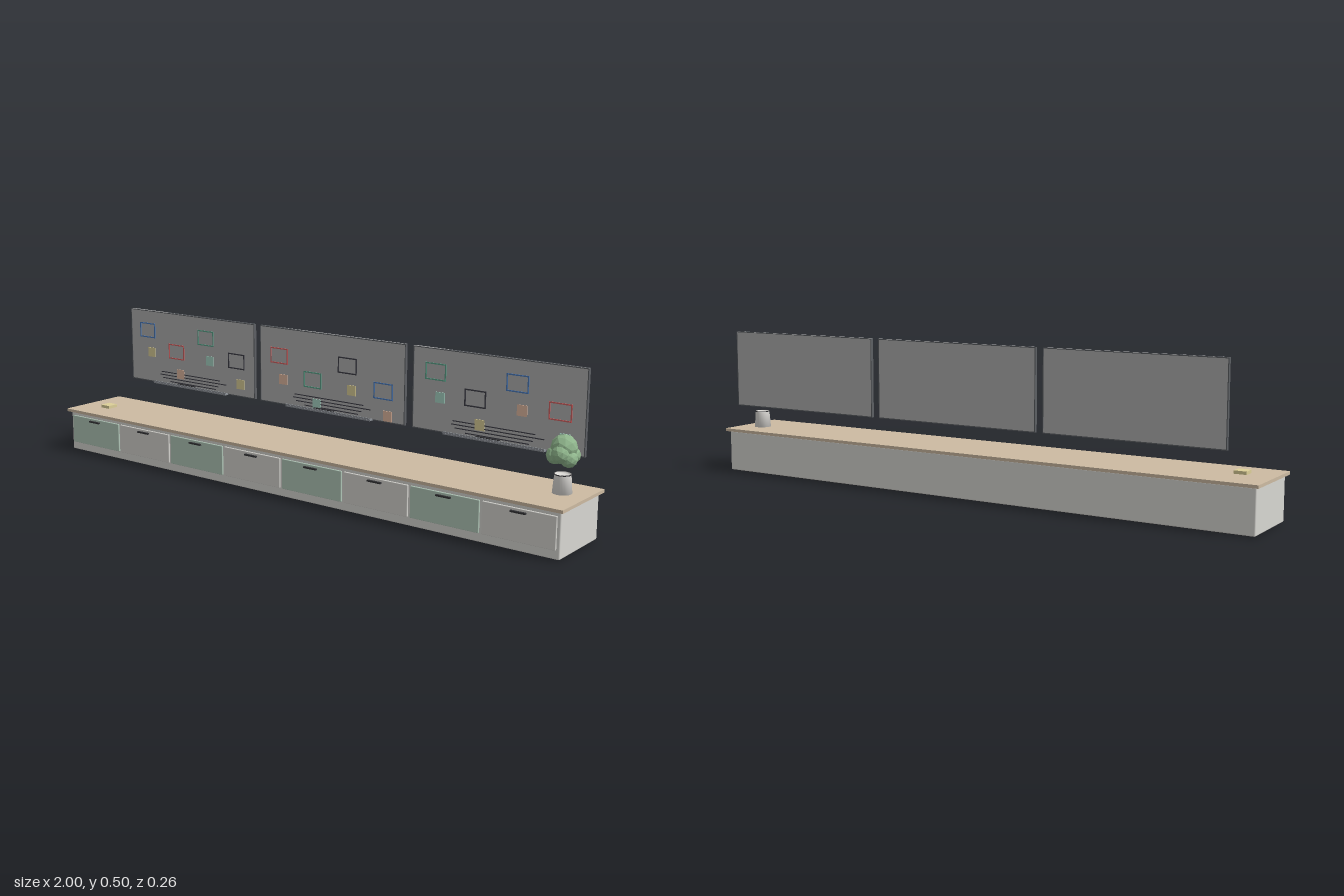
import * as THREE from 'three';
import { RoundedBoxGeometry } from 'three/addons/geometries/RoundedBoxGeometry.js';

const mat = (color, extra = {}) => new THREE.MeshStandardMaterial({ color, ...extra });
const M = {
  cabinet: mat(0xd8d7d2), door: mat(0xd6d5d0), greenDoor: mat(0xb2c8b9), wood: mat(0xcdbba2),
  dark: mat(0x333336), board: mat(0xb0b0b0), frame: mat(0x5c5f63), tray: mat(0x8b9096), pot: mat(0xdedcd8),
  leaf: mat(0x8fb58c, { flatShading: true }),
  blue: mat(0x4a78b8), red: mat(0xd06060), green: mat(0x5aa088), black: mat(0x3c3c44),
  yellow: mat(0xdccf98), orange: mat(0xe0b8a0), mint: mat(0xa8d4c4),
};

function add(parent, name, geometry, material, x, y, z) {
  const mesh = new THREE.Mesh(geometry, material);
  mesh.name = name;
  mesh.position.set(x, y, z);
  parent.add(mesh);
  return mesh;
}
const box = (parent, name, material, w, h, d, x, y, z) =>
  add(parent, name, new THREE.BoxGeometry(w, h, d), material, x, y, z);

// Long low cabinet with alternating doors and bar handles
function createCabinet() {
  const g = new THREE.Group();
  g.name = 'cabinet';
  add(g, 'body', new RoundedBoxGeometry(1.98, 0.141, 0.234, 2, 0.004), M.cabinet, 0, 0.0725, 0);
  box(g, 'plinth', M.dark, 1.95, 0.01, 0.212, 0, 0.005, -0.004);
  box(g, 'countertop', M.wood, 2, 0.01, 0.26, 0, 0.148, 0);
  for (let i = 0; i < 8; i++) {
    const x = (i - 3.5) * 0.246;
    add(g, 'door', new RoundedBoxGeometry(0.237, 0.1, 0.007, 1, 0.002),
      i % 2 ? M.door : M.greenDoor, x, 0.08, 0.1195);
    box(g, 'handle', M.dark, 0.05, 0.005, 0.009, x, 0.12, 0.1265);
  }
  return g;
}

// Wall board: framed sketches, sticky notes, ruled lines and a pen tray
const FACE = -0.1135;
function createBoard(cx, sketches, notes, firstHigh, shift) {
  const g = new THREE.Group();
  g.name = 'wallBoard';
  g.position.set(cx, 0.372, 0);
  box(g, 'panel', M.board, 0.594, 0.263, 0.009, 0, 0, -0.119);
  for (const s of [-1, 1]) {
    box(g, 'frameSide', M.frame, 0.003, 0.263, 0.011, s * 0.2965, 0, -0.1185);
    box(g, 'frameRail', M.frame, 0.594, 0.003, 0.011, 0, s * 0.13, -0.1185);
  }
  for (let i = 0; i < 4; i++) {
    const x = (i - 1.5) * 0.143;
    const y = ((i % 2 === 0) === firstHigh ? 0.058 : -0.008) + shift;
    const m = M[sketches[i]];
    for (const s of [-1, 1]) {
      box(g, 'sketchEdge', m, 0.075, 0.004, 0.003, x, y + s * 0.025, FACE);
      box(g, 'sketchEdge', m, 0.004, 0.053, 0.003, x + s * 0.0355, y, FACE);
    }
    box(g, 'stickyNote', M[notes[i]], 0.034, 0.034, 0.003, x + 0.018, y - 0.08, FACE);
  }
  [0.285, 0.32, 0.27, 0.22].forEach((w, i) =>
    box(g, 'ruledLine', M.black, w, 0.003, 0.002, (i % 2) * 0.012 - 0.006, -0.088 - i * 0.011, FACE));
  box(g, 'penTray', M.tray, 0.35, 0.005, 0.018, 0, -0.13, -0.106);
  box(g, 'trayLip', M.tray, 0.35, 0.007, 0.003, 0, -0.127, -0.1);
  box(g, 'eraser', M.dark, 0.08, 0.007, 0.008, -0.02, -0.125, -0.107);
  return g;
}

// Tapered pot with a clump of faceted foliage
function createPlant() {
  const g = new THREE.Group();
  g.name = 'pottedPlant';
  g.position.set(0.92, 0.153, -0.0215);
  const profile = [[0, 0], [0.029, 0], [0.0245, 0.054], [0.0255, 0.057], [0.0225, 0.057], [0.0225, 0.05], [0, 0.05]]
    .map(([r, y]) => new THREE.Vector2(r, y));
  add(g, 'pot', new THREE.LatheGeometry(profile, 24), M.pot, 0, 0, 0);
  add(g, 'potRim', new THREE.TorusGeometry(0.0245, 0.0015, 6, 24), M.dark, 0, 0.056, 0).rotation.x = Math.PI / 2;
  const blobs = [
    [0, 0.134, 0, 0.039], [0.002, 0.119, 0.024, 0.028], [-0.022, 0.11, 0.01, 0.027],
    [0.02, 0.105, 0.008, 0.026], [0.012, 0.108, -0.026, 0.026], [-0.02, 0.112, -0.022, 0.026],
  ];
  blobs.forEach(([x, y, z, r], i) => {
    add(g, 'foliage', new THREE.IcosahedronGeometry(r, 1), M.leaf, x, y, z).rotation.set(i, i * 2, 0);
  });
  return g;
}

export function createModel() {
  const model = new THREE.Group();
  model.name = 'classroomSideboard';
  model.add(createCabinet());
  model.add(createBoard(-0.604, ['blue', 'red', 'green', 'black'], ['yellow', 'orange', 'mint', 'yellow'], true, 0));
  model.add(createBoard(0.018, ['red', 'green', 'black', 'blue'], ['orange', 'mint', 'yellow', 'orange'], true, -0.023));
  model.add(createBoard(0.643, ['green', 'black', 'blue', 'red'], ['mint', 'yellow', 'orange', 'mint'], true, 0));
  model.add(createPlant());
  // Pad of notes on the countertop
  box(model, 'notePad', M.yellow, 0.04, 0.01, 0.04, -0.895, 0.158, 0.021);
  return model;
}
